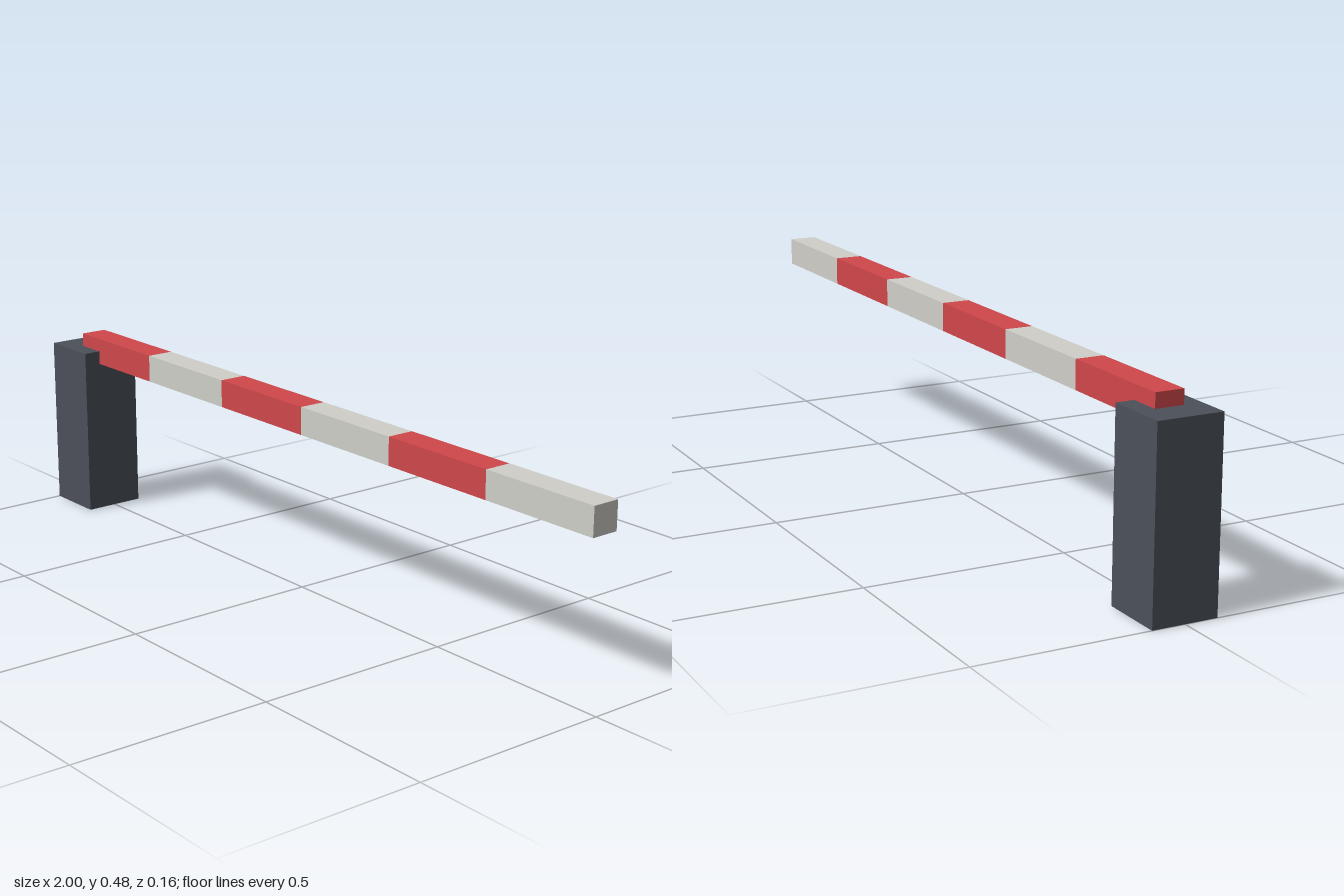
import * as THREE from 'three';

export function createModel() {
  const model = new THREE.Group();
  model.name = 'barrierGate';

  const material = (name, color) => {
    const m = new THREE.MeshStandardMaterial({ color });
    m.name = name;
    return m;
  };
  const postGrey = material('postGrey', 0x4c505a);
  const red = material('stripeRed', 0xd0474b);
  const white = material('stripeWhite', 0xd0cfc8);

  const addBox = (parent, name, size, position, mat) => {
    const mesh = new THREE.Mesh(new THREE.BoxGeometry(...size), mat);
    mesh.name = name;
    mesh.position.set(...position);
    parent.add(mesh);
  };

  // Upright housing that carries the arm
  addBox(model, 'post', [0.16, 0.445, 0.16], [-0.92, 0.2225, 0], postGrey);

  // Striped arm, starting inside the post
  const arm = new THREE.Group();
  arm.name = 'arm';
  arm.position.set(-0.92, 0.445, 0);
  model.add(arm);

  const stripes = 6;
  const length = 1.92 / stripes;
  for (let i = 0; i < stripes; i++) {
    const isRed = i % 2 === 0;
    addBox(arm, (isRed ? 'redStripe' : 'whiteStripe') + (i + 1),
      [length, 0.07, 0.07], [(i + 0.5) * length, 0, 0], isRed ? red : white);
  }

  return model;
}
